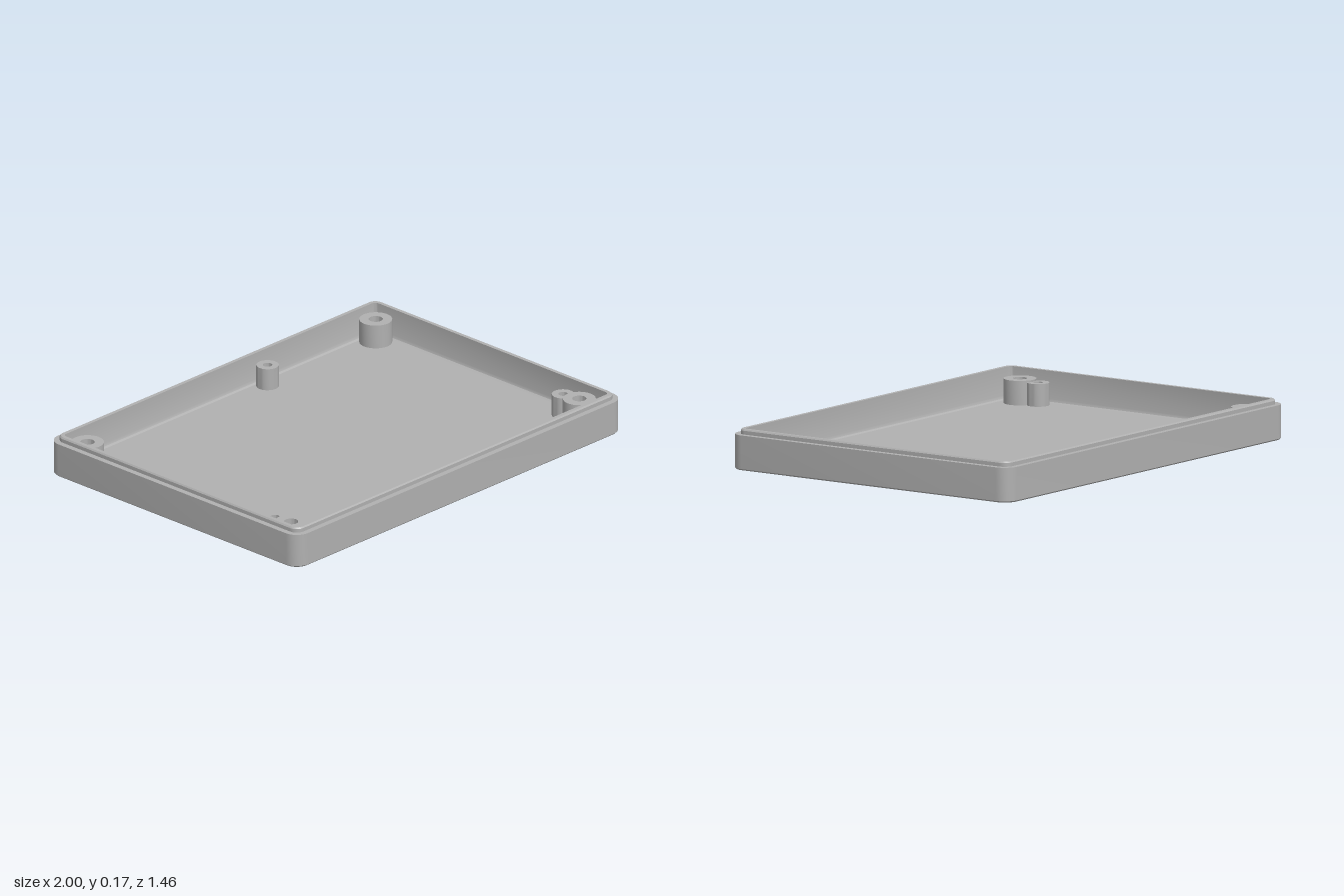
import * as THREE from 'three';
import { toCreasedNormals } from 'three/addons/utils/BufferGeometryUtils.js';

const HALF_X = 1, HALF_Z = 0.73, CORNER = 0.065, FLOOR = 0.035;
const RECESS = 0.046, FLOOR_INSET = 0.06, BASE_INSET = 0.006;
const SCREWS = [[-0.88, -0.61], [0.88, -0.61], [-0.88, 0.58], [0.88, 0.58]];
const PINS = [[-0.88, 0.485], [0.88, 0.485], [0.235, -0.625]];

// Rounded rectangle, inset from the outer wall, as [x, z] points
function ring(inset, steps = 8) {
  const r = Math.max(CORNER - inset, 0.02), points = [];
  [[1, 1], [1, -1], [-1, -1], [-1, 1]].forEach(([sx, sz], q) => {
    for (let i = 0; i <= steps; i++) {
      const a = (q + i / steps) * Math.PI / 2;
      points.push([
        sx * (HALF_X - inset - r) + r * Math.sin(a),
        sz * (HALF_Z - inset - r) + r * Math.cos(a),
      ]);
    }
  });
  return points;
}

// Wall skin: an [inset, y] profile carried round the rounded rectangle
function wallGeometry(profile) {
  const positions = [], index = [];
  const count = ring(0).length;
  for (const [inset, y] of profile) {
    for (const [x, z] of ring(inset)) positions.push(x, y, z);
  }
  for (let k = 0; k < profile.length - 1; k++) {
    for (let i = 0; i < count; i++) {
      const a = k * count + i, b = k * count + (i + 1) % count;
      index.push(a, b, a + count, b, b + count, a + count);
    }
  }
  const geometry = new THREE.BufferGeometry();
  geometry.setAttribute('position', new THREE.Float32BufferAttribute(positions, 3));
  geometry.setIndex(index);
  return toCreasedNormals(geometry, 0.5);
}

// Flat panel pierced by the screw holes, facing up (1) or down (-1)
function panelGeometry(inset, facing) {
  const shape = new THREE.Shape(ring(inset).map(([x, z]) => new THREE.Vector2(x, -facing * z)));
  for (const [x, z] of SCREWS) {
    shape.holes.push(new THREE.Path().absarc(x, -facing * z, RECESS, 0, Math.PI * 2, true));
  }
  return new THREE.ShapeGeometry(shape, 16).rotateX(-facing * Math.PI / 2);
}

function turned(profile) {
  const points = profile.map(([r, y]) => new THREE.Vector2(r, y));
  return toCreasedNormals(new THREE.LatheGeometry(points, 32), 0.5);
}

export function createModel() {
  const model = new THREE.Group();
  model.name = 'enclosureHalf';
  const plastic = new THREE.MeshStandardMaterial({ color: 0xb0b0b0 });
  plastic.name = 'grey plastic';

  function add(name, geometry, x = 0, y = 0, z = 0) {
    const mesh = new THREE.Mesh(geometry, plastic);
    mesh.name = name;
    mesh.position.set(x, y, z);
    model.add(mesh);
  }

  // Outer wall, stepped lip, inner wall and fillet down to the floor
  add('wallAndLip', wallGeometry([
    [BASE_INSET, 0], [0, 0.006], [0, 0.15], [0.025, 0.15], [0.025, 0.166], [0.03, 0.172],
    [0.047, 0.172], [0.047, 0.05], [0.051, 0.04], [FLOOR_INSET, FLOOR],
  ]));
  add('floor', panelGeometry(FLOOR_INSET, 1), 0, FLOOR, 0);
  add('underside', panelGeometry(BASE_INSET, -1));

  // Screw bosses: through hole with a wider recess from below
  const boss = turned([
    [0.07, FLOOR - 0.005], [0.07, 0.14], [0.03, 0.14], [0.03, 0.09], [RECESS, 0.09], [RECESS, 0],
  ]);
  for (const [x, z] of SCREWS) add('screwBoss', boss, x, 0, z);

  // Small mounting posts with blind holes
  const post = turned([
    [0.048, FLOOR - 0.005], [0.048, 0.132], [0.02, 0.132], [0.02, 0.045], [0, 0.045],
  ]);
  for (const [x, z] of PINS) add('mountingPost', post, x, 0, z);

  return model;
}
